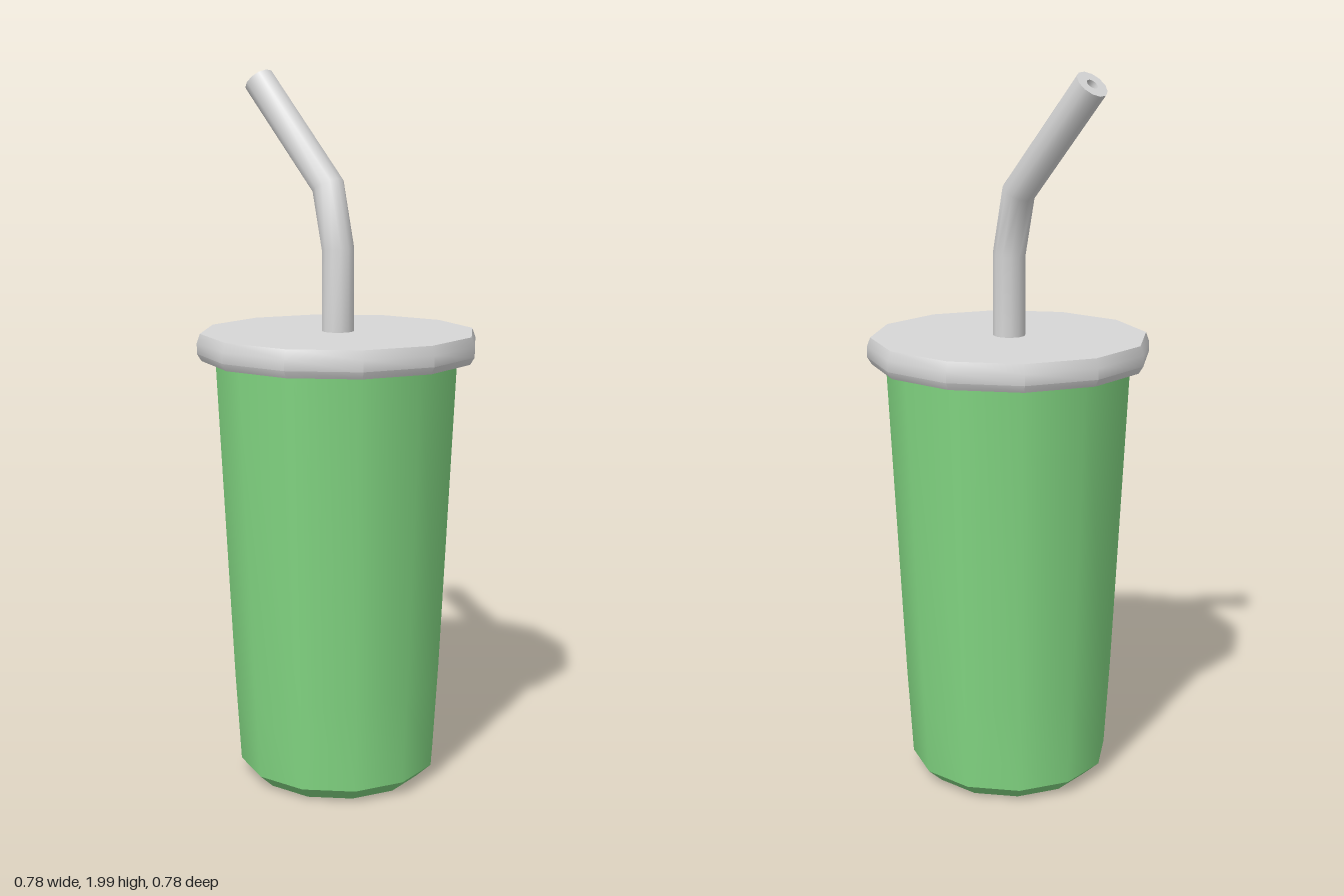
import * as THREE from 'three';
import { toCreasedNormals } from 'three/addons/utils/BufferGeometryUtils.js';

const SIDES = 12;

// Twelve-sided turned solid, smooth around but sharp at its rims
function turned(profile) {
  const points = profile.map(([r, y]) => new THREE.Vector2(r, y));
  return toCreasedNormals(new THREE.LatheGeometry(points, SIDES), 0.7);
}

// Mitred rings along a bent path: each ring is slid along its segment onto the next joint plane
function sweepRings(path, radius) {
  const dirs = path.slice(1).map((p, i) => p.clone().sub(path[i]).normalize());
  let ring = [];
  for (let i = 0; i < SIDES; i++) {
    const a = (i / SIDES) * Math.PI * 2;
    ring.push(new THREE.Vector3(Math.sin(a) * radius, 0, Math.cos(a) * radius).add(path[0]));
  }
  const rings = [ring];
  dirs.forEach((d, s) => {
    const end = path[s + 1];
    const n = d.clone().add(dirs[s + 1] ?? d).normalize();
    ring = ring.map((p) => p.clone().addScaledVector(d, end.clone().sub(p).dot(n) / d.dot(n)));
    rings.push(ring);
  });
  return rings;
}

// Surface between successive rings
function skin(rings, flip = false) {
  const index = [];
  for (let r = 0; r < rings.length - 1; r++) {
    for (let i = 0; i < SIDES; i++) {
      const a = r * SIDES + i, b = r * SIDES + ((i + 1) % SIDES);
      const c = a + SIDES, d = b + SIDES;
      if (flip) index.push(a, d, b, a, c, d);
      else index.push(a, b, d, a, d, c);
    }
  }
  const geometry = new THREE.BufferGeometry().setFromPoints(rings.flat());
  geometry.setIndex(index);
  geometry.computeVertexNormals();
  return geometry;
}

export function createModel() {
  const model = new THREE.Group();
  const green = new THREE.MeshStandardMaterial({ name: 'green', color: 0x82d682 });
  const lightGrey = new THREE.MeshStandardMaterial({ name: 'lightGrey', color: 0xd6d6d6 });

  const add = (name, geometry, material, parent = model) => {
    const mesh = new THREE.Mesh(geometry, material);
    mesh.name = name;
    parent.add(mesh);
  };

  // Tapered cup with a bevelled foot
  add('cup', turned([[0, 0], [0.24, 0], [0.283, 0.04], [0.298, 0.29], [0.342, 1.22]]), green);

  // Flat lid with a softened rim
  add('lid', turned([
    [0, 1.205], [0.38, 1.205], [0.392, 1.225], [0.392, 1.255], [0.383, 1.28], [0, 1.28],
  ]), lightGrey);

  // Bent hollow straw
  const path = [[0, 1.26, 0], [0, 1.505, 0], [-0.043, 1.675, 0], [-0.298, 1.962, 0.042]]
    .map((p) => new THREE.Vector3(...p));
  const outer = sweepRings(path, 0.045);
  const inner = sweepRings(path, 0.016);
  const straw = new THREE.Group();
  straw.name = 'straw';
  add('strawOuter', skin(outer), lightGrey, straw);
  add('strawBore', skin(inner, true), lightGrey, straw);
  add('strawTip', skin([outer.at(-1), inner.at(-1)]), lightGrey, straw);
  model.add(straw);

  return model;
}
